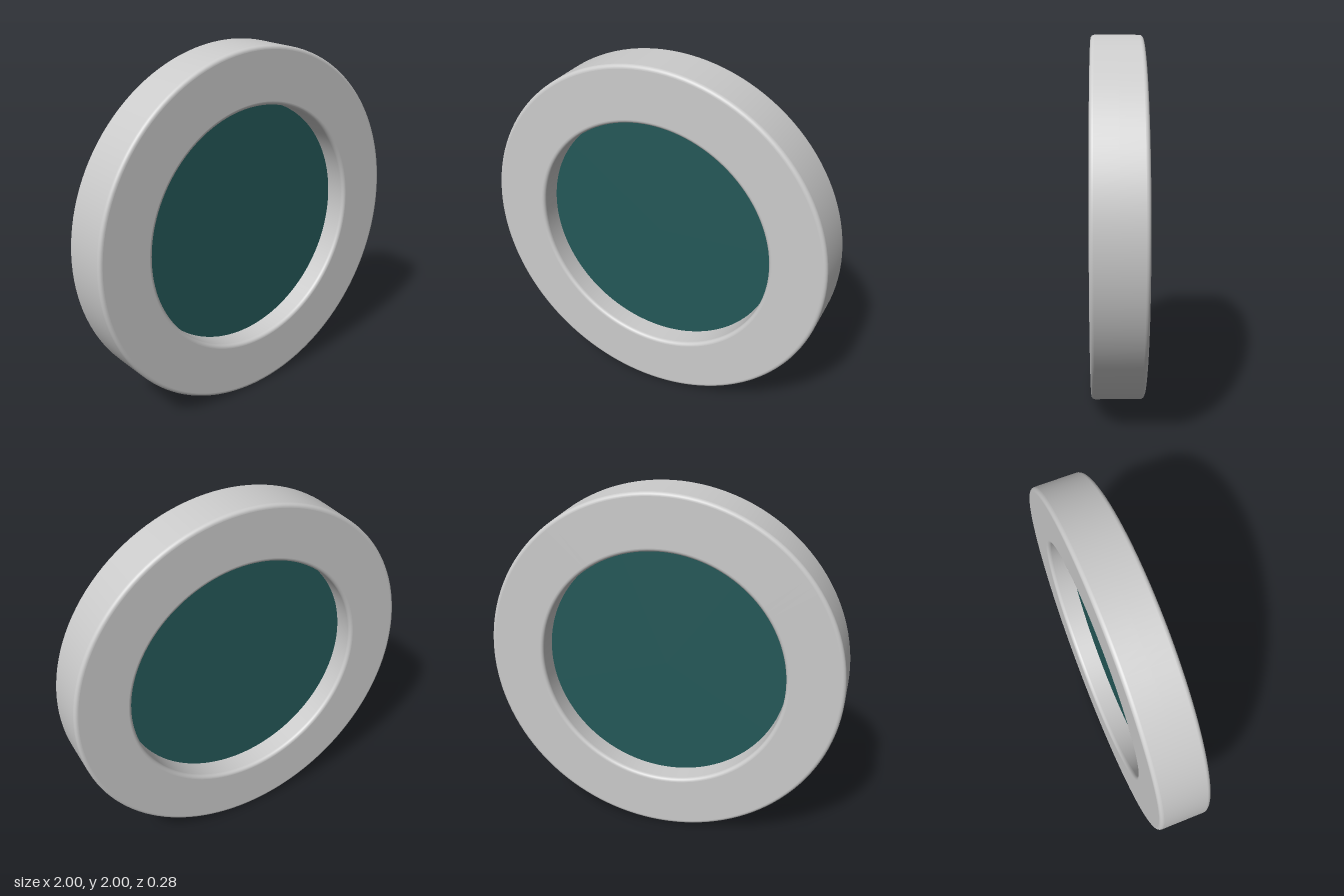
import * as THREE from 'three';

const OUTER = 1, INNER = 0.688, HALF_DEPTH = 0.14, BEVEL = 0.02, SEGMENTS = 128;

// Closed ring section in (radius, height): rounded rectangle, counter-clockwise
function ringProfile() {
  const points = [new THREE.Vector2(OUTER, 0)];
  const corners = [[1, 1], [-1, 1], [-1, -1], [1, -1]];
  const steps = 6, edge = 0.001;
  corners.forEach(([sr, sh], i) => {
    const r = sr > 0 ? OUTER - BEVEL : INNER + BEVEL;
    const h = sh * (HALF_DEPTH - BEVEL);
    const at = (a, slide) => new THREE.Vector2(
      r + BEVEL * Math.cos(a) - slide * Math.sin(a),
      h + BEVEL * Math.sin(a) + slide * Math.cos(a));
    const start = i * Math.PI / 2;
    // Support points beside each arc keep the flat faces evenly shaded
    points.push(at(start, -edge));
    for (let s = 0; s <= steps; s++) points.push(at(start + s / steps * Math.PI / 2, 0));
    points.push(at(start + Math.PI / 2, edge));
  });
  points.push(new THREE.Vector2(OUTER, 0));
  return points;
}

export function createModel() {
  const model = new THREE.Group();
  model.name = 'roundWindow';

  // Thick rounded frame
  const frame = new THREE.Mesh(
    new THREE.LatheGeometry(ringProfile(), SEGMENTS).rotateX(Math.PI / 2),
    new THREE.MeshStandardMaterial({ color: 0xcccccc }));
  frame.name = 'frame';

  // Thin pane set halfway into the frame, seen from both sides
  const pane = new THREE.Mesh(
    new THREE.CylinderGeometry(INNER + 0.01, INNER + 0.01, 0.028, SEGMENTS).rotateX(Math.PI / 2),
    new THREE.MeshStandardMaterial({ color: 0x245858 }));
  pane.name = 'pane';

  for (const part of [frame, pane]) {
    part.position.y = OUTER;
    model.add(part);
  }
  return model;
}
